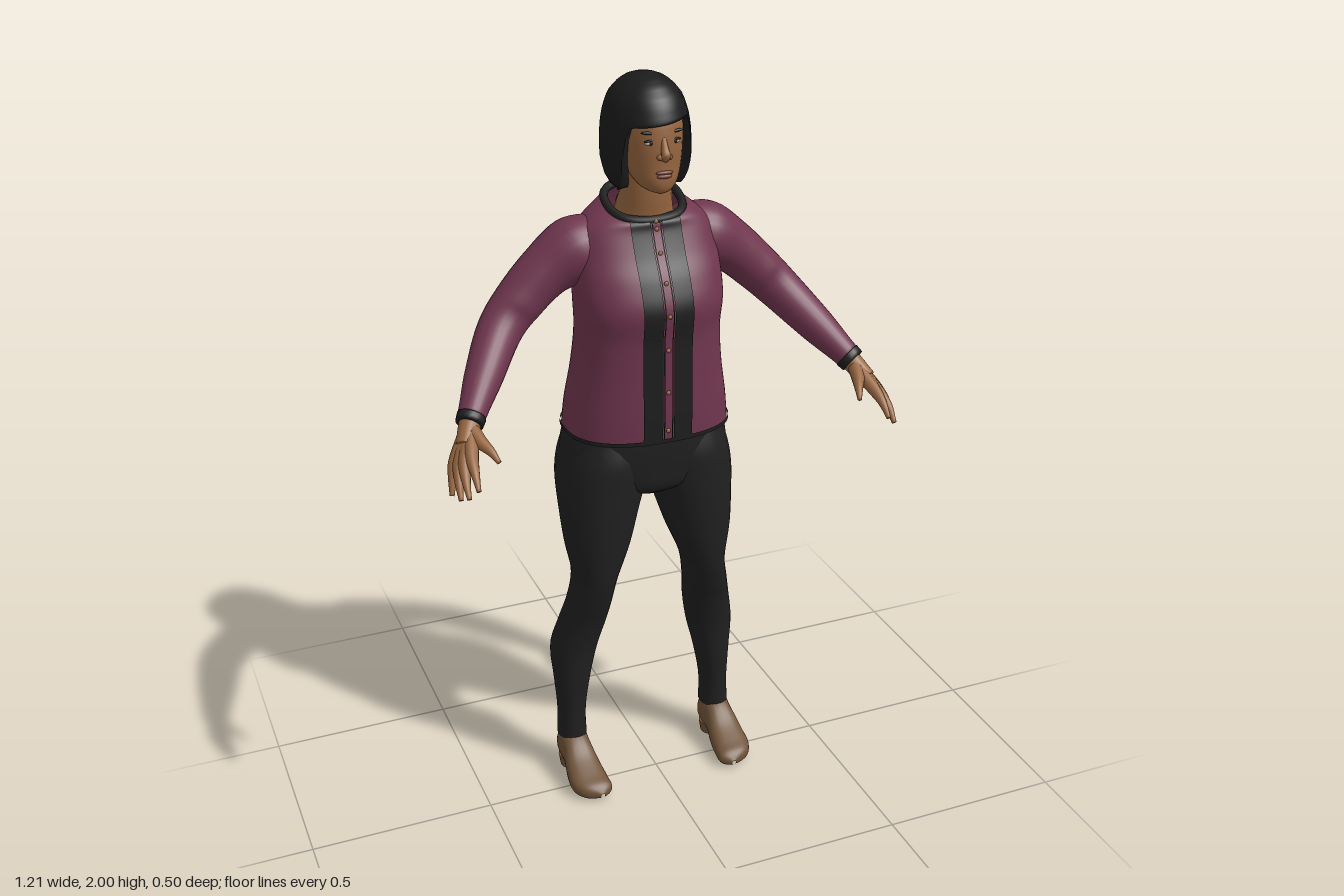
import * as THREE from 'three';

const { sin, cos, PI, abs, sign, pow } = Math;
const V = (x, y, z) => new THREE.Vector3(x, y, z);

const mat = (name, color, side = THREE.FrontSide) => {
  const m = new THREE.MeshStandardMaterial({ color, side });
  m.name = name;
  return m;
};

// Grid surface from point(u, v); wraps around u when closed
function surface(point, nu, nv, closed = true) {
  const pos = [], idx = [], cols = closed ? nu : nu + 1;
  for (let j = 0; j <= nv; j++)
    for (let i = 0; i < cols; i++) pos.push(...point(i / nu, j / nv).toArray());
  for (let j = 0; j < nv; j++)
    for (let i = 0; i < nu; i++) {
      const a = j * cols + i, b = j * cols + ((i + 1) % cols), c = b + cols, d = a + cols;
      idx.push(a, d, b, b, d, c);
    }
  const g = new THREE.BufferGeometry();
  g.setAttribute('position', new THREE.Float32BufferAttribute(pos, 3));
  g.setIndex(idx);
  g.computeVertexNormals();
  return g;
}

// Smooth interpolation through rows of numbers
function blend(rows, t) {
  const n = rows.length - 1, f = Math.min(Math.max(t, 0), 1) * n, i = Math.min(Math.floor(f), n - 1), k = f - i;
  const [a, b, c, d] = [-1, 0, 1, 2].map((o) => rows[Math.min(Math.max(i + o, 0), n)]);
  return b.map((_, q) => b[q] + 0.5 * k * (c[q] - a[q] + k * (2 * a[q] - 5 * b[q] + 4 * c[q] - d[q] + k * (3 * (b[q] - c[q]) + d[q] - a[q]))));
}

// Upright body form; rows are [y, frontZ, backZ, halfWidth, centreX, tilt]
const bodyPoint = (rows, p, grow = 0) => (u, v) => {
  const [y, zf, zb, rx, cx = 0, tilt = 0] = blend(rows, v);
  const c = cos(u * 2 * PI), s = sin(u * 2 * PI), e = 2 / p;
  const cc = sign(c) * pow(abs(c), e), ss = sign(s) * pow(abs(s), e);
  return V(cx + cc * (rx + grow), y + tilt * ss, (zf + zb) / 2 + ss * ((zf - zb) / 2 + grow));
};

// Round tapering tube through points, with closed ends
function limb(points, radii, nu = 16, nv = 24) {
  const curve = new THREE.CatmullRomCurve3(points);
  const fr = curve.computeFrenetFrames(nv, false);
  return surface((u, v) => {
    const k = Math.round(v * (nv + 2)), j = Math.min(Math.max(k - 1, 0), nv);
    const r = k === 0 || k === nv + 2 ? 0 : blend(radii.map((x) => [x]), j / nv)[0];
    return curve.getPoint(j / nv).addScaledVector(fr.normals[j], r * cos(u * 2 * PI)).addScaledVector(fr.binormals[j], -r * sin(u * 2 * PI));
  }, nu, nv + 2);
}

const TORSO = [
  [1.075, 0.08, -0.245, 0.22, 0, 0], [1.15, 0.083, -0.24, 0.212, 0, 0], [1.25, 0.082, -0.222, 0.196, 0, 0],
  [1.35, 0.082, -0.205, 0.188, 0, 0], [1.43, 0.09, -0.2, 0.192, 0, 0], [1.5, 0.066, -0.2, 0.192, 0, 0],
  [1.56, 0.032, -0.198, 0.187, 0, 0], [1.615, 0.006, -0.195, 0.175, 0, 0], [1.65, 0, -0.18, 0.14, 0, -0.012],
  [1.675, -0.008, -0.16, 0.098, 0, -0.03]];
const PELVIS = [[0.89, 0.0, -0.17, 0.08], [0.92, 0.035, -0.21, 0.16], [0.98, 0.045, -0.232, 0.225], [1.04, 0.05, -0.235, 0.226], [1.1, 0.05, -0.23, 0.208]];
const LEG = [
  [0.115, -0.05, -0.145, 0.041, 0.221], [0.2, -0.05, -0.15, 0.039, 0.22], [0.3, -0.045, -0.166, 0.05, 0.215],
  [0.4, -0.04, -0.175, 0.065, 0.206], [0.5, -0.018, -0.148, 0.066, 0.185], [0.57, 0.008, -0.134, 0.061, 0.172],
  [0.65, 0.03, -0.14, 0.06, 0.159], [0.75, 0.04, -0.165, 0.088, 0.147], [0.85, 0.045, -0.203, 0.107, 0.135],
  [0.93, 0.046, -0.228, 0.12, 0.124], [1.0, 0.045, -0.238, 0.115, 0.117], [1.06, 0.03, -0.22, 0.095, 0.115]];
const HEAD = [
  [1.722, 0.035, -0.02, 0.008], [1.732, 0.052, -0.05, 0.034], [1.755, 0.058, -0.08, 0.054], [1.79, 0.056, -0.12, 0.069],
  [1.83, 0.056, -0.15, 0.077], [1.87, 0.053, -0.16, 0.08], [1.905, 0.044, -0.16, 0.079], [1.94, 0.015, -0.14, 0.065], [1.965, -0.03, -0.1, 0.02]];
// Shoe rows run heel to toe: [z, centreX, halfWidth, top, bottom]
const SHOE = [
  [-0.145, 0.222, 0.004, 0.06, 0.04], [-0.138, 0.222, 0.03, 0.1, 0.024], [-0.1, 0.222, 0.042, 0.135, 0.024],
  [-0.05, 0.222, 0.042, 0.122, 0.02], [0, 0.222, 0.05, 0.085, 0.003], [0.05, 0.22, 0.053, 0.06, 0],
  [0.085, 0.21, 0.042, 0.046, 0.004], [0.104, 0.202, 0.006, 0.026, 0.014]];
// Hair outline: [height, share of full width]
const HAIR = [[1.7, 0.62], [1.725, 0.78], [1.75, 0.91], [1.79, 0.99], [1.83, 1], [1.87, 0.98], [1.9, 0.94], [1.93, 0.86], [1.95, 0.78], [1.975, 0.58], [1.99, 0.37], [2, 0]];

function hairPoint(a, v, grow = 0) {
  const c = cos(a), s = sin(a);
  const low = 1.725 + (0.17 + 0.012 * c) * THREE.MathUtils.smoothstep(s, 0.42, 0.72);
  const y = 2 - (2 - low) * (1 - cos(Math.min(v, 1) * PI / 2));
  let i = 0;
  while (i < HAIR.length - 2 && HAIR[i + 1][0] < y) i++;
  const [y0, f0] = HAIR[i], [y1, f1] = HAIR[i + 1];
  const f = (f0 + (f1 - f0) * (y - y0) / (y1 - y0)) * (v > 1 ? 0.72 : 1);
  return V(c * (0.11 * f + grow), y + grow * cos(v * PI / 2), -0.07 + s * (0.135 * f + grow));
}

export function createModel() {
  const root = new THREE.Group();
  root.name = 'standingWoman';
  const skin = mat('skin', 0x96653f), hair = mat('blackHair', 0x1b1b1c, THREE.DoubleSide);
  const wool = mat('plumWool', 0x70364e, THREE.DoubleSide), trim = mat('blackTrim', 0x1e1e1e, THREE.DoubleSide);
  const denim = mat('blackTrousers', 0x202021, THREE.DoubleSide), leather = mat('brownLeather', 0x6f5339);
  const lip = mat('lips', 0x7d4536), white = mat('eyeWhite', 0xc9bdb0), brass = mat('brass', 0x9a6a45);
  const scalp = mat('scalp', 0x86603f, THREE.DoubleSide);

  const add = (name, geo, material) => {
    const m = new THREE.Mesh(geo, material);
    m.name = name;
    root.add(m);
    return m;
  };
  const blob = (name, material, p, s, rz = 0) => {
    const m = add(name, new THREE.SphereGeometry(1, 16, 12), material);
    m.position.set(...p);
    m.scale.set(...s);
    m.rotation.z = rz;
  };

  // Cardigan body, hem and collar
  const torso = bodyPoint(TORSO, 2.5);
  add('cardigan', surface(torso, 56, 50), wool);
  const hem = bodyPoint(TORSO, 2.5, 0.004);
  add('hem', surface((u, v) => hem(u, v * 0.025), 56, 2), trim);
  const ring = Array.from({ length: 32 }, (_, i) => torso(i / 32, 1));
  add('collar', new THREE.TubeGeometry(new THREE.CatmullRomCurve3(ring, true), 64, 0.011, 8, true), trim);

  // Front panels and buttons follow the chest
  const front = (x, t, out) => {
    const [y, zf, zb, rx, , tilt] = blend(TORSO, t);
    const s = pow(1 - pow(abs(x) / rx, 2.5), 0.4);
    return V(x, y + tilt * s, (zf + zb) / 2 + s * (zf - zb) / 2 + out);
  };
  for (const s of [1, -1]) {
    add('frontPanel', surface((u, v) => front(s * 0.041 + 0.026 * (1 - 2 * u), v * 0.97, 0.005), 6, 50, false), trim);
    add('placketEdge', surface((u, v) => front(s * 0.011 + 0.0015 * (1 - 2 * u), v * 0.97, 0.005), 1, 50, false), trim);
  }
  for (let i = 0; i < 8; i++) blob('button', brass, front(0, 0.06 + i * 0.125, 0.004).toArray(), [0.006, 0.006, 0.004]);

  // Trousers seat
  add('trouserSeat', surface(bodyPoint(PELVIS, 2.3), 40, 20), denim);

  for (const s of [1, -1]) {
    const P = (list) => list.map(([x, y, z]) => V(s * x, y, z));
    // Leg and shoe
    add('trouserLeg', surface(bodyPoint(LEG.map(([y, f, b, r, c]) => [y, f, b, r, c * s]), 2.1), 28, 50), denim);
    add('shoe', surface((u, v) => {
      const [z, cx, rx, top, bot] = blend(SHOE, v), c = cos(u * 2 * PI), q = -sin(u * 2 * PI);
      return V(s * cx + rx * sign(c) * pow(abs(c), 0.8), (top + bot) / 2 + sign(q) * pow(abs(q), 0.8) * (top - bot) / 2, z);
    }, 24, 28), leather);
    const heel = add('shoeHeel', new THREE.CylinderGeometry(0.038, 0.033, 0.035, 20), leather);
    heel.position.set(s * 0.222, 0.0175, -0.103);

    // Sleeve and cuff
    add('sleeve', limb(P([[0.09, 1.59, -0.1], [0.17, 1.56, -0.108], [0.255, 1.512, -0.108], [0.33, 1.445, -0.1], [0.385, 1.388, -0.08], [0.46, 1.3, 0.005], [0.52, 1.228, 0.083]]),
      [0.06, 0.086, 0.07, 0.063, 0.058, 0.048, 0.034], 24, 40), wool);
    add('cuff', limb(P([[0.514, 1.235, 0.076], [0.525, 1.222, 0.09]]), [0.037, 0.035], 20, 3), trim);

    // Hand: each finger starts at the wrist so that the fan forms the palm
    add('wrist', limb(P([[0.51, 1.24, 0.07], [0.53, 1.21, 0.1], [0.548, 1.185, 0.13]]), [0.028, 0.027, 0.024]), skin);
    const fingers = {
      indexFinger: [[0.523, 1.213, 0.1], [0.545, 1.172, 0.172], [0.55, 1.148, 0.215], [0.552, 1.118, 0.247]],
      middleFinger: [[0.527, 1.21, 0.1], [0.562, 1.158, 0.17], [0.572, 1.13, 0.21], [0.574, 1.098, 0.24]],
      ringFinger: [[0.53, 1.21, 0.1], [0.573, 1.148, 0.158], [0.584, 1.118, 0.19], [0.588, 1.086, 0.215]],
      littleFinger: [[0.532, 1.21, 0.097], [0.58, 1.145, 0.14], [0.592, 1.115, 0.16], [0.6, 1.082, 0.176]],
      thumb: [[0.525, 1.215, 0.1], [0.513, 1.195, 0.145], [0.498, 1.182, 0.178], [0.487, 1.164, 0.205]],
    };
    for (const [name, pts] of Object.entries(fingers)) add(name, limb(P(pts), [0.02, 0.017, 0.011, 0.006], 12, 16), skin);

    // Eye, brow and nostril side
    blob('eyeWhite', white, [s * 0.032, 1.852, 0.042], [0.014, 0.006, 0.006]);
    blob('iris', hair, [s * 0.031, 1.852, 0.0455], [0.006, 0.006, 0.004]);
    blob('upperLid', hair, [s * 0.032, 1.858, 0.044], [0.017, 0.003, 0.005], -s * 0.1);
    blob('eyebrow', hair, [s * 0.035, 1.876, 0.042], [0.021, 0.004, 0.005], s * 0.12);
    blob('noseWing', skin, [s * 0.012, 1.818, 0.056], [0.008, 0.007, 0.01]);
  }

  // Neck, head and face
  add('neck', limb([V(0, 1.6, -0.085), V(0, 1.655, -0.078), V(0, 1.71, -0.065), V(0, 1.78, -0.06)], [0.088, 0.074, 0.064, 0.06], 28), skin);
  add('head', surface(bodyPoint(HEAD, 2.15), 40, 36), skin);
  add('nose', limb([V(0, 1.865, 0.046), V(0, 1.84, 0.057), V(0, 1.82, 0.065), V(0, 1.812, 0.056)], [0.007, 0.009, 0.012, 0.007], 14, 14), skin);
  blob('upperLip', lip, [0, 1.78, 0.056], [0.023, 0.005, 0.006]);
  blob('lowerLip', lip, [0, 1.771, 0.056], [0.02, 0.006, 0.007]);

  // Hair cap with a tucked rim, and bare patches lying on it
  add('hair', surface((u, v) => hairPoint(-u * 2 * PI, v * 1.05), 64, 21), hair);
  const patch = (name, a0, a1, v0, v1, w) => add(name, surface((u, v) => {
    const k = w * pow(1 - pow(2 * v - 1, 4), 0.5) * (2 * u - 1);
    return hairPoint(a0 + (a1 - a0) * v, v0 + (v1 - v0) * v + k, 0.004);
  }, 6, 16, false), scalp);
  patch('sidePatch', -0.12, -1.05, 0.52, 0.31, 0.085);
  patch('backPatch', -1.3, -1.85, 0.62, 0.62, 0.045);

  // Three-strand braid down the back
  for (let k = 0; k < 3; k++) {
    const pts = [], radii = [];
    for (let i = 0; i <= 40; i++) {
      const t = i / 40, a = t * 5 * PI + k * 2 * PI / 3, w = 1 - 0.55 * t;
      const z = blend([[-0.155], [-0.19], [-0.212], [-0.222], [-0.22], [-0.208]], t)[0];
      pts.push(V(0.028 * w * sin(a), 1.755 - 0.365 * t, z + 0.011 * w * sin(2 * a)));
      radii.push(0.023 * w + 0.002);
    }
    add('braidStrand', limb(pts, radii, 10, 80), hair);
  }
  add('braidEnd', limb([V(0, 1.41, -0.21), V(0, 1.38, -0.212), V(0, 1.345, -0.208)], [0.012, 0.016, 0.004], 10, 10), hair);

  return root;
}
